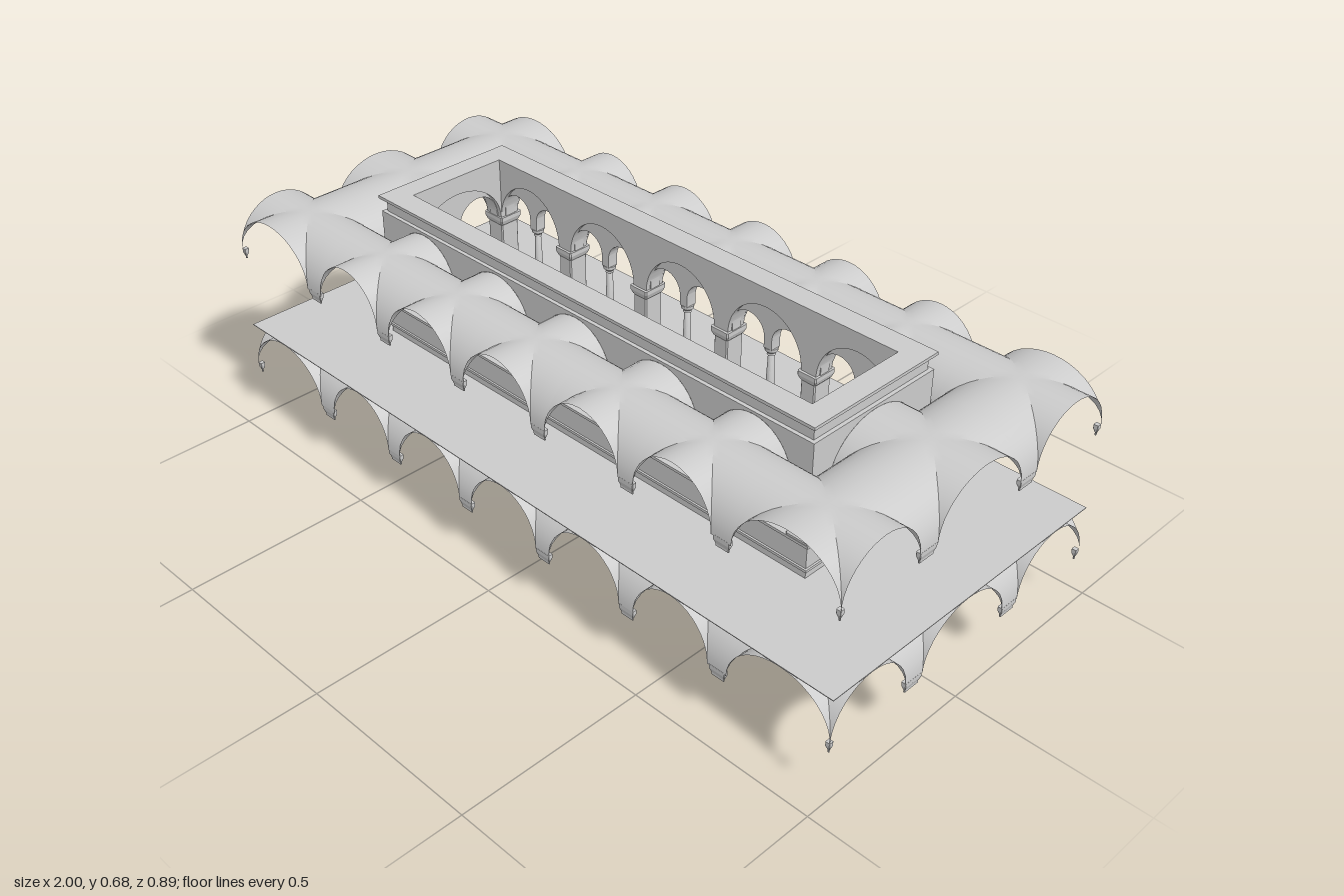
import * as THREE from 'three';
import { toCreasedNormals } from 'three/addons/utils/BufferGeometryUtils.js';

const stone = new THREE.MeshStandardMaterial({ color: 0xcccccc });
const shell = new THREE.MeshStandardMaterial({ color: 0xcccccc, side: THREE.DoubleSide });

// Outer faces of the courtyard wall, its thickness, and the outer gallery limits
const WX = 0.715, WZ = 0.2, T = 0.056, GX = 1, GZ = 0.445;
const pierX = [-0.6875, -0.4125, -0.1375, 0.1375, 0.4125, 0.6875];
const longBays = [[-0.66, -0.435], [-0.39, -0.16], [-0.115, 0.115], [0.16, 0.39], [0.435, 0.66]];
const endBay = [[-0.142, 0.142]];
const sides = [
  { turn: 0, face: WZ, half: WX, bays: longBays },
  { turn: Math.PI, face: WZ, half: WX, bays: longBays },
  { turn: Math.PI / 2, face: WX, half: WZ - 0.001, bays: endBay },
  { turn: -Math.PI / 2, face: WX, half: WZ - 0.001, bays: endBay },
];

function add(parent, name, geometry, material = stone) {
  const mesh = new THREE.Mesh(geometry, material);
  mesh.name = name;
  parent.add(mesh);
  return mesh;
}

// Rectangular frame around the courtyard
function ring(x, z, ix, iz, y0, y1) {
  const rect = (s, a, b) => s.moveTo(-a, -b).lineTo(a, -b).lineTo(a, b).lineTo(-a, b).closePath();
  const shape = rect(new THREE.Shape(), x, z);
  shape.holes.push(rect(new THREE.Path(), ix, iz));
  const g = new THREE.ExtrudeGeometry(shape, { depth: y1 - y0, bevelEnabled: false });
  return g.rotateX(-Math.PI / 2).translate(0, y0, 0);
}

// Wall strip whose lower edge is cut by arches
function archWall(half, openings, spring, top, rise, z0, z1, stilt = 0) {
  const s = new THREE.Shape().moveTo(-half, spring);
  for (const [a, b] of openings) {
    const r = (b - a) / 2, h = typeof rise === 'function' ? rise(r) : rise;
    const lift = stilt ? Math.max(0, stilt - h) : 0;
    s.lineTo(a, spring).lineTo(a, spring + lift);
    s.absellipse((a + b) / 2, spring + lift, r, h, Math.PI, 0, true, 0);
    s.lineTo(b, spring);
  }
  s.lineTo(half, spring).lineTo(half, top).lineTo(-half, top).closePath();
  const g = new THREE.ExtrudeGeometry(s, { depth: z1 - z0, bevelEnabled: false, curveSegments: 20 });
  return toCreasedNormals(g.translate(0, 0, z0), 0.5);
}

// Chamfered rectangular block lofted through [y, outward offset] levels
function block(w, d, chamfer, levels) {
  const pos = [], idx = [];
  for (const [y, o] of levels) {
    const a = w / 2 + o, b = d / 2 + o, c = chamfer;
    for (const [x, z] of [[a, b - c], [a, c - b], [a - c, -b], [c - a, -b],
      [-a, c - b], [-a, b - c], [c - a, b], [a - c, b]]) pos.push(x, y, z);
  }
  const last = (levels.length - 1) * 8;
  for (let l = 0; l < last; l += 8) {
    for (let i = 0; i < 8; i++) {
      const j = (i + 1) % 8;
      idx.push(l + i, l + j, l + 8 + j, l + i, l + 8 + j, l + 8 + i);
    }
  }
  for (let i = 1; i < 7; i++) idx.push(0, i + 1, i, last, last + i, last + i + 1);
  const g = new THREE.BufferGeometry();
  g.setAttribute('position', new THREE.Float32BufferAttribute(pos, 3));
  g.setIndex(idx);
  const flat = g.toNonIndexed();
  flat.computeVertexNormals();
  return flat;
}

// Cross vaults all round the gallery: the higher of two crossing barrels
function vaults(spring, rise) {
  const axis = spans => spans.flatMap(([a, b]) => Array.from({ length: 21 }, (_, i) => {
    const t = Math.PI * i / 20;
    return { p: (a + b) / 2 - (b - a) / 2 * Math.cos(t), h: Math.sin(t) };
  }));
  const xs = axis([[-GX, -WX], ...longBays, [WX, GX]]);
  const zs = axis([[-GZ, -WZ], ...endBay, [WZ, GZ]]);
  const pos = [], idx = [], n = zs.length;
  for (const x of xs) for (const z of zs) pos.push(x.p, spring + rise * Math.max(x.h, z.h), z.p);
  for (let i = 0; i < xs.length - 1; i++) {
    for (let j = 0; j < n - 1; j++) {
      const x = (xs[i].p + xs[i + 1].p) / 2, z = (zs[j].p + zs[j + 1].p) / 2;
      if (Math.abs(x) < WX && Math.abs(z) < WZ) continue;
      const a = i * n + j, b = a + n, c = b + 1, d = a + 1;
      // Split each cell along the groin
      if ((xs[i + 1].h > xs[i].h) === (zs[j + 1].h > zs[j].h)) idx.push(a, d, c, a, c, b);
      else idx.push(a, d, b, b, d, c);
    }
  }
  const g = new THREE.BufferGeometry();
  g.setAttribute('position', new THREE.Float32BufferAttribute(pos, 3));
  g.setIndex(idx);
  return toCreasedNormals(g, 0.4);
}

// Wall corbels carrying the outer vault springings
function corbels(parent, y) {
  const levels = [[y - 0.026, -0.004], [y - 0.02, -0.004], [y - 0.008, 0], [y + 0.003, 0]];
  for (const s of [-1, 1]) {
    for (const x of pierX) {
      add(parent, 'corbel', block(0.045, 0.012, 0.001, levels)).position.set(x, 0, s * (GZ - 0.006));
    }
    for (const z of [-0.171, 0.171]) {
      add(parent, 'corbel', block(0.012, 0.055, 0.001, levels)).position.set(s * (GX - 0.006), 0, z);
    }
    for (const t of [-1, 1]) {
      add(parent, 'cornerCorbel', block(0.012, 0.012, 0.001, levels))
        .position.set(s * (GX - 0.006), 0, t * (GZ - 0.006));
    }
  }
}

function piers(parent, name, chamfer, levels) {
  for (const x of pierX) {
    const w = Math.abs(x) > 0.6 ? 0.055 : 0.043;
    for (const s of [-1, 1]) {
      add(parent, name, block(w, T, chamfer, levels)).position.set(x, 0, s * (WZ - T / 2));
    }
  }
}

export function createModel() {
  const model = new THREE.Group();
  model.name = 'arcadedCourtyard';
  const lower = new THREE.Group(), upper = new THREE.Group();
  lower.name = 'lowerStorey';
  upper.name = 'upperStorey';
  model.add(lower, upper);

  // Piers with capitals
  piers(lower, 'lowerPier', 0.012, [[0, 0], [0.138, 0], [0.142, 0.003], [0.15, 0.003],
    [0.154, 0.008], [0.164, 0.008]]);
  piers(upper, 'upperPier', 0.003, [[0.376, 0.004], [0.382, 0.004], [0.386, 0], [0.488, 0],
    [0.492, 0.003], [0.503, 0.007], [0.514, 0.007]]);

  // Gallery vaults, corbels and floor
  add(lower, 'lowerVaults', vaults(0.163, 0.12), shell);
  add(upper, 'upperVaults', vaults(0.513, 0.12), shell);
  corbels(lower, 0.163);
  corbels(upper, 0.513);
  add(upper, 'galleryFloor', ring(GX, GZ, WX - 0.02, WZ - 0.02, 0.2835, 0.2855));

  // Small column between paired arches
  const columnProfile = [[0, 0.376], [0.018, 0.376], [0.018, 0.384], [0.013, 0.386], [0.014, 0.391],
    [0.011, 0.396], [0.008, 0.492], [0.011, 0.494], [0.009, 0.498], [0.016, 0.505], [0.017, 0.514], [0, 0.514]]
    .map(p => new THREE.Vector2(...p));
  const columnGeometry = toCreasedNormals(new THREE.LatheGeometry(columnProfile, 16), 0.6);

  for (const { turn, face, half, bays } of sides) {
    const low = new THREE.Group(), high = new THREE.Group();
    low.name = 'lowerArcade';
    high.name = 'upperArcade';
    low.rotation.y = high.rotation.y = turn;
    lower.add(low);
    upper.add(high);

    // Ground arches, stepped towards the courtyard
    const narrow = bays.map(([a, b]) => [a + 0.006, b - 0.006]);
    add(low, 'archWall', archWall(half, narrow, 0.163, 0.307, 0.112, face - 0.032, face));
    add(low, 'courtyardArchBand', archWall(half, bays, 0.163, 0.307, 0.136, face - T, face - 0.032));

    // Large upper arches with paired arches recessed inside
    add(high, 'largeArchWall', archWall(half, bays, 0.513, 0.64, 0.12, face - T, face));
    const pairs = bays.flatMap(([a, b]) => {
      const m = (a + b) / 2;
      return [[a + 0.003, m - 0.012], [m + 0.012, b - 0.003]];
    });
    add(high, 'pairedArches',
      archWall(half - 0.02, pairs, 0.513, 0.637, r => r, face - 0.043, face - 0.013, 0.077));
    for (const [a, b] of bays) {
      add(high, 'column', columnGeometry).position.set((a + b) / 2, 0, face - T / 2);
    }
  }

  // Parapet, string courses, attic and cornice
  const ix = WX - T, iz = WZ - T;
  add(upper, 'stringCourse', ring(WX + 0.005, WZ + 0.005, ix - 0.002, iz - 0.002, 0.305, 0.312));
  add(upper, 'parapet', ring(WX, WZ, ix, iz, 0.312, 0.37));
  add(upper, 'parapetCap', ring(WX + 0.005, WZ + 0.005, ix - 0.002, iz - 0.002, 0.37, 0.377));
  add(upper, 'attic', ring(WX - 0.01, WZ - 0.01, ix, iz, 0.633, 0.676));
  add(upper, 'cornice', ring(WX + 0.003, WZ + 0.005, ix - 0.002, iz - 0.002, 0.676, 0.684));
  return model;
}
